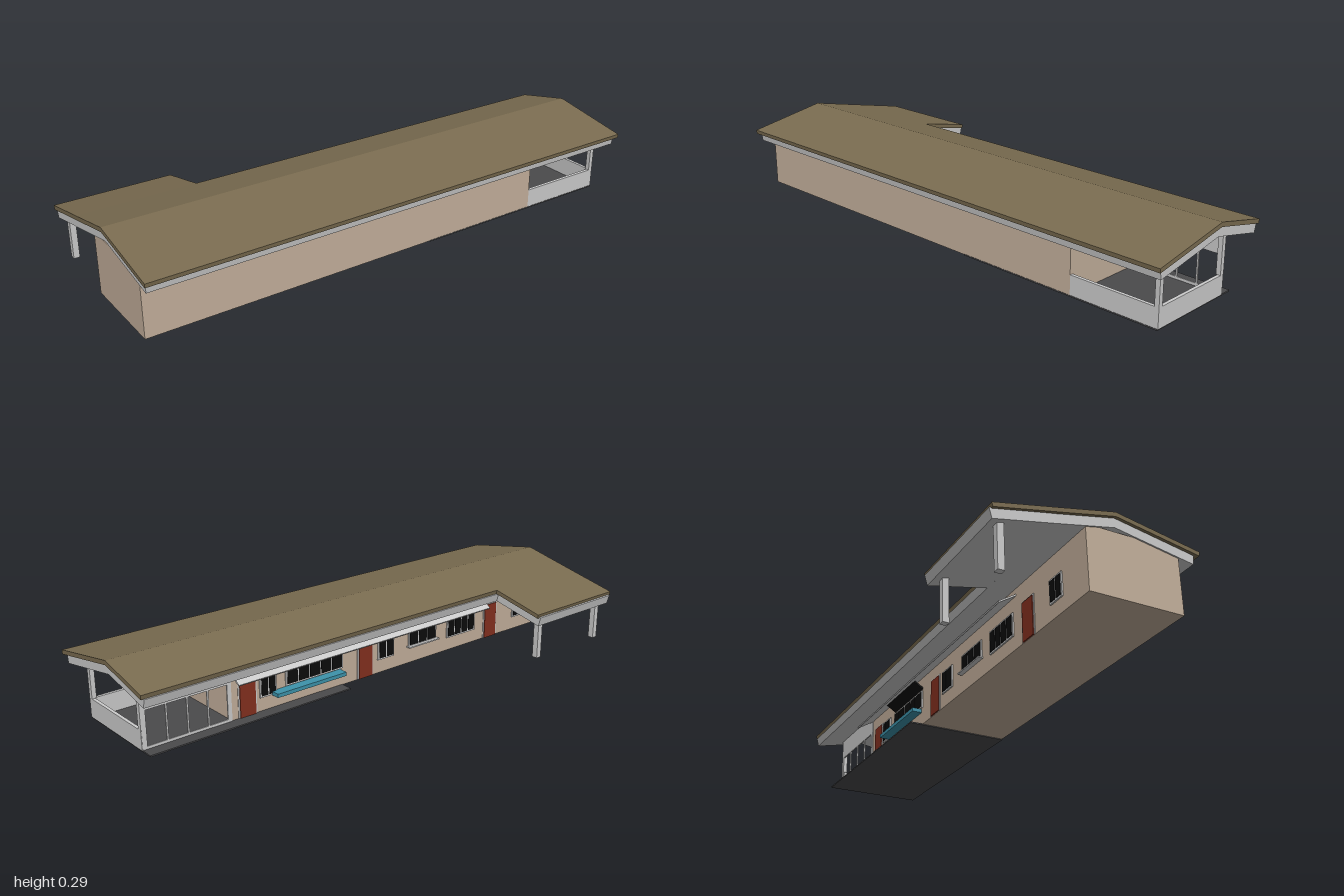
import * as THREE from 'three';

const mat = (name, color, side = THREE.FrontSide) => {
  const m = new THREE.MeshStandardMaterial({ color, side });
  m.name = name;
  return m;
};

export function createModel() {
  const group = new THREE.Group();
  const roofBrown = mat('roofBrown', 0x7a6c50);
  const wallTan = mat('wallTan', 0xc4b09c);
  const trimGrey = mat('trimGrey', 0xcccccc);
  const slabDark = mat('slabDark', 0x4a4a4c);
  const glassBlack = mat('glassBlack', 0x0c0c0c);
  const doorRed = mat('doorRed', 0x84301f);
  const counterTeal = mat('counterTeal', 0x3d93ab);

  const add = (name, geo, material) => {
    const mesh = new THREE.Mesh(geo, material);
    mesh.name = name;
    group.add(mesh);
    return mesh;
  };
  // Box given by its limits on each axis
  const box = (name, material, x0, x1, y0, y1, z0, z1) => {
    const m = add(name, new THREE.BoxGeometry(x1 - x0, y1 - y0, z1 - z0), material);
    m.position.set((x0 + x1) / 2, (y0 + y1) / 2, (z0 + z1) / 2);
    return m;
  };
  // Cross-section in x and y, drawn out along z
  const prism = (name, material, pts, z0, z1) => {
    const shape = new THREE.Shape(pts.map(p => new THREE.Vector2(p[0], p[1])));
    const geo = new THREE.ExtrudeGeometry(shape, { depth: z1 - z0, bevelEnabled: false });
    geo.translate(0, 0, z0);
    return add(name, geo, material);
  };

  // Roof covering, with the lower porch part at the front
  const ridge = 0.06, slope = 0.2225;
  const left = (x, top) => top - slope * (ridge - x);
  prism('mainRoof', roofBrown, [
    [-0.155, left(-0.155, 0.293)], [-0.152, left(-0.152, 0.277)], [ridge, 0.277],
    [0.367, 0.223], [0.369, 0.238], [ridge, 0.293]], -1, 1);
  prism('porchRoof', roofBrown, [
    [-0.366, 0.199], [-0.363, 0.184], [-0.15, left(-0.15, 0.277)], [-0.15, left(-0.15, 0.293)]], 0.56, 1);

  // Pale roof structure below the covering
  prism('mainSoffit', trimGrey, [
    [-0.155, left(-0.155, 0.2765)], [-0.147, left(-0.147, 0.243)], [ridge, 0.243],
    [0.348, 0.193], [0.353, 0.225], [ridge, 0.2765]], -0.99, 0.99);
  prism('porchSoffit', trimGrey, [
    [-0.37, 0.186], [-0.361, 0.151], [-0.145, left(-0.145, 0.243)], [-0.145, left(-0.145, 0.2765)]], 0.57, 0.99);

  // Porch posts
  for (const z of [0.615, 0.96]) box('porchPost', trimGrey, -0.335, -0.312, 0.005, 0.175, z - 0.011, z + 0.011);

  // House body and terrace slab
  box('houseBody', wallTan, -0.043, 0.295, 0.003, 0.231, -0.61, 0.985);
  box('terraceSlab', slabDark, -0.092, 0.296, 0, 0.005, -0.95, -0.13);

  // Terrace: low walls, corner posts and the screen with four openings
  box('lowBackWall', trimGrey, -0.045, 0.295, 0.004, 0.075, -0.952, -0.94);
  box('lowSideWall', trimGrey, 0.283, 0.295, 0.004, 0.075, -0.952, -0.61);
  box('cornerPost', trimGrey, 0.278, 0.295, 0.075, 0.22, -0.952, -0.935);
  box('cornerPost', trimGrey, -0.046, -0.029, 0.075, 0.235, -0.952, -0.935);
  const screen = new THREE.Shape([[-0.95, 0.004], [-0.61, 0.004], [-0.61, 0.225], [-0.95, 0.225]]
    .map(p => new THREE.Vector2(p[0], p[1])));
  for (let i = 0; i < 4; i++) {
    const a = -0.932 + i * 0.078, b = a + 0.072;
    screen.holes.push(new THREE.Path([[a, 0.015], [a, 0.14], [b, 0.14], [b, 0.015]]
      .map(p => new THREE.Vector2(p[0], p[1]))));
  }
  const screenGeo = new THREE.ExtrudeGeometry(screen, { depth: 0.005, bevelEnabled: false });
  screenGeo.rotateY(-Math.PI / 2);
  add('terraceScreen', screenGeo, trimGrey).position.x = -0.041;

  // Doors with pale surrounds
  for (const z of [-0.545, -0.02, 0.647]) {
    box('doorFrame', trimGrey, -0.045, -0.042, 0.004, 0.148, z - 0.038, z + 0.038);
    box('door', doorRed, -0.048, -0.042, 0.004, 0.143, z - 0.032, z + 0.032);
  }

  // Windows: pale frame, dark panes, thin sill
  const addWindow = (z0, z1, y0, panes, sill) => {
    const y1 = 0.14, gap = 0.006, w = (z1 - z0 - gap) / panes;
    box('windowFrame', trimGrey, -0.048, -0.042, y0, y1, z0, z1);
    for (let i = 0; i < panes; i++) {
      const a = z0 + gap + i * w;
      box('windowPane', glassBlack, -0.05, -0.043, y0 + gap, y1 - gap, a, a + w - gap);
    }
    if (sill) box('windowSill', trimGrey, -0.061, -0.043, 0.068, 0.073, z0 - 0.006, z1 + 0.006);
  };
  addWindow(-0.495, -0.425, 0.055, 2, false);
  addWindow(-0.385, -0.13, 0.07, 5, false);
  addWindow(0.04, 0.12, 0.055, 2, false);
  addWindow(0.195, 0.34, 0.07, 3, true);
  addWindow(0.4, 0.555, 0.055, 4, false);
  addWindow(0.78, 0.85, 0.055, 2, false);

  // Serving counter and raised hatch
  box('servingCounter', counterTeal, -0.081, -0.043, 0.053, 0.067, -0.445, -0.14);
  prism('raisedHatch', glassBlack, [
    [-0.081, 0.17], [-0.043, 0.146], [-0.043, 0.153], [-0.078, 0.175]], -0.385, -0.13);

  // Long sloping awning over doors and windows
  prism('awning', trimGrey, [
    [-0.11, 0.158], [-0.107, 0.153], [-0.043, 0.193], [-0.043, 0.2]], -0.62, 0.575);

  return group;
}
